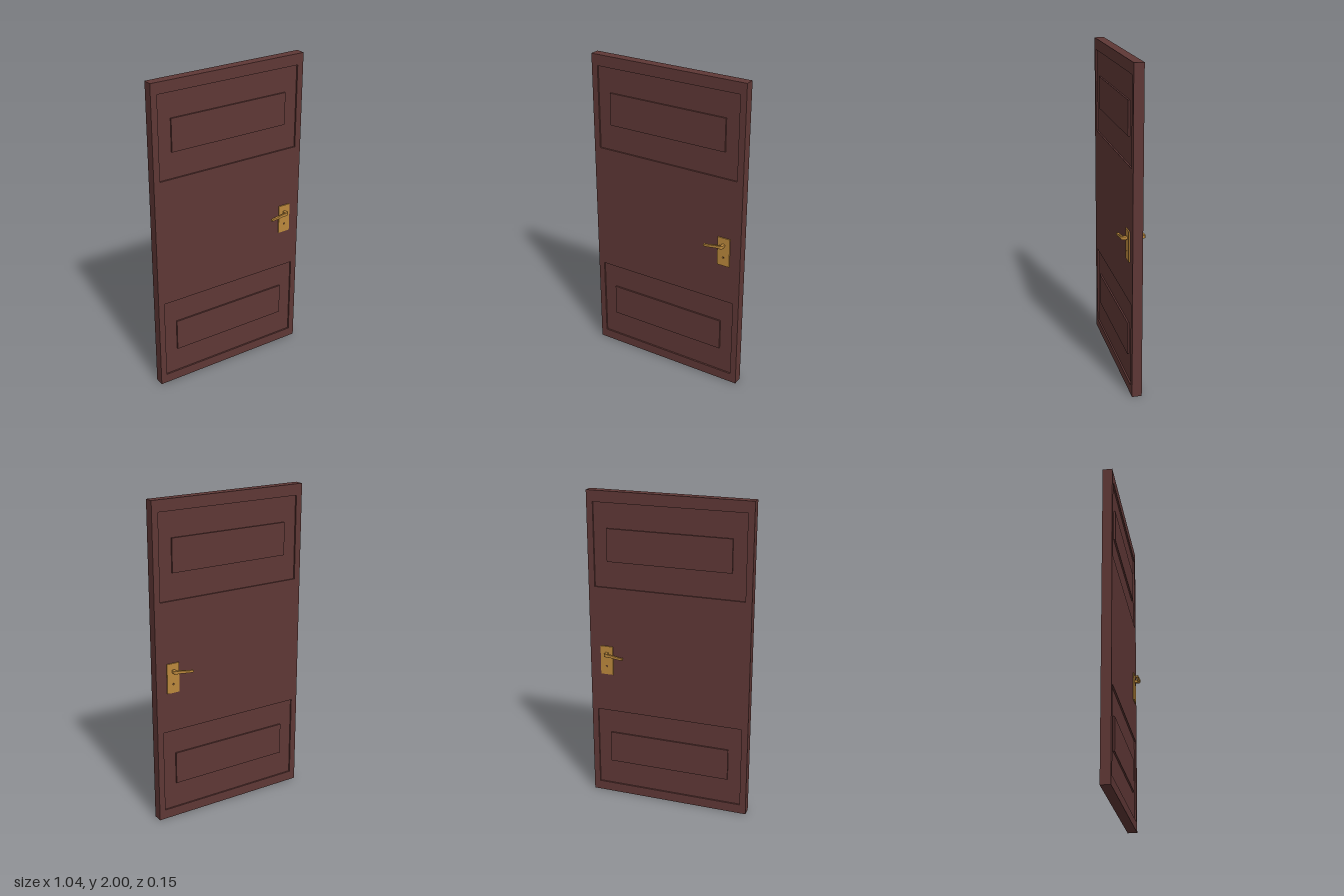
import * as THREE from 'three';

const wood = new THREE.MeshStandardMaterial({ color: 0x5e3735 });
wood.name = 'dark brown wood';
const brass = new THREE.MeshStandardMaterial({ color: 0xba873c });
brass.name = 'brass';

const HALF = 0.03; // half the door thickness
const RECESS = 0.01; // depth of the panel grooves

function add(parent, name, geometry, material, x = 0, y = 0, z = 0) {
  const mesh = new THREE.Mesh(geometry, material);
  mesh.name = name;
  mesh.position.set(x, y, z);
  parent.add(mesh);
  return mesh;
}

function rect(Type, x0, y0, x1, y1) {
  const s = new Type();
  s.moveTo(x0, y0);
  s.lineTo(x1, y0);
  s.lineTo(x1, y1);
  s.lineTo(x0, y1);
  s.closePath();
  return s;
}

// Lever: an L seen from above, rounded at the elbow, drooping towards its tip
function leverGeometry() {
  const s = new THREE.Shape();
  s.moveTo(0.399, 0.03);
  s.lineTo(0.415, 0.03);
  s.lineTo(0.415, 0.058);
  s.quadraticCurveTo(0.415, 0.072, 0.401, 0.072);
  for (let i = 1; i <= 10; i++) s.lineTo(0.401 - 0.0111 * i, 0.072);
  for (let i = 0; i <= 10; i++) s.lineTo(0.29 + 0.0109 * i, 0.06);
  s.closePath();
  const geo = new THREE.ExtrudeGeometry(s, {
    depth: 0.014, bevelEnabled: true, bevelThickness: 0.003, bevelSize: 0.002,
    bevelSegments: 2, curveSegments: 6,
  });
  geo.rotateX(Math.PI / 2); // profile y becomes z, depth runs down
  geo.translate(0, 0.981, 0);
  const p = geo.attributes.position;
  for (let i = 0; i < p.count; i++) {
    const t = THREE.MathUtils.clamp((0.4 - p.getX(i)) / 0.11, 0, 1);
    const thin = 1 - 0.35 * t;
    const droop = 0.013 * t * t * (3 - 2 * t);
    p.setY(i, 0.974 + (p.getY(i) - 0.974) * thin - droop);
  }
  geo.computeVertexNormals();
  return geo;
}

function createHandle(name) {
  const handle = new THREE.Group();
  handle.name = name;
  // Back plate with a keyhole
  const plate = rect(THREE.Shape, 0.367, 0.836, 0.449, 1.023);
  const keyhole = new THREE.Path();
  keyhole.absarc(0.408, 0.892, 0.006, 0, Math.PI * 2, true);
  plate.holes.push(keyhole);
  const plateGeo = new THREE.ExtrudeGeometry(plate, { depth: 0.007, bevelEnabled: false, curveSegments: 8 });
  add(handle, 'handlePlate', plateGeo, brass, 0, 0, HALF);
  add(handle, 'handleLever', leverGeometry(), brass);
  return handle;
}

export function createModel() {
  const door = new THREE.Group();
  door.name = 'door';

  // Frame with two openings
  const panels = [0.06, 1.405];
  const outline = rect(THREE.Shape, -0.52, 0, 0.52, 2);
  for (const y of panels) outline.holes.push(rect(THREE.Path, -0.48, y, 0.48, y + 0.525));
  const frame = new THREE.ExtrudeGeometry(outline, { depth: HALF * 2, bevelEnabled: false });
  add(door, 'doorFrame', frame, wood, 0, 0, -HALF);

  // Recessed panels, each with a raised field on both faces
  for (const y of panels) {
    add(door, 'recessedPanel', new THREE.BoxGeometry(0.96, 0.525, 2 * (HALF - RECESS)), wood, 0, y + 0.2625, 0);
    add(door, 'raisedField', new THREE.BoxGeometry(0.79, 0.205, 2 * HALF), wood, 0, y + 0.267, 0);
  }

  // Matching handles on both faces
  door.add(createHandle('frontHandle'));
  const back = createHandle('backHandle');
  back.scale.z = -1;
  door.add(back);
  return door;
}
